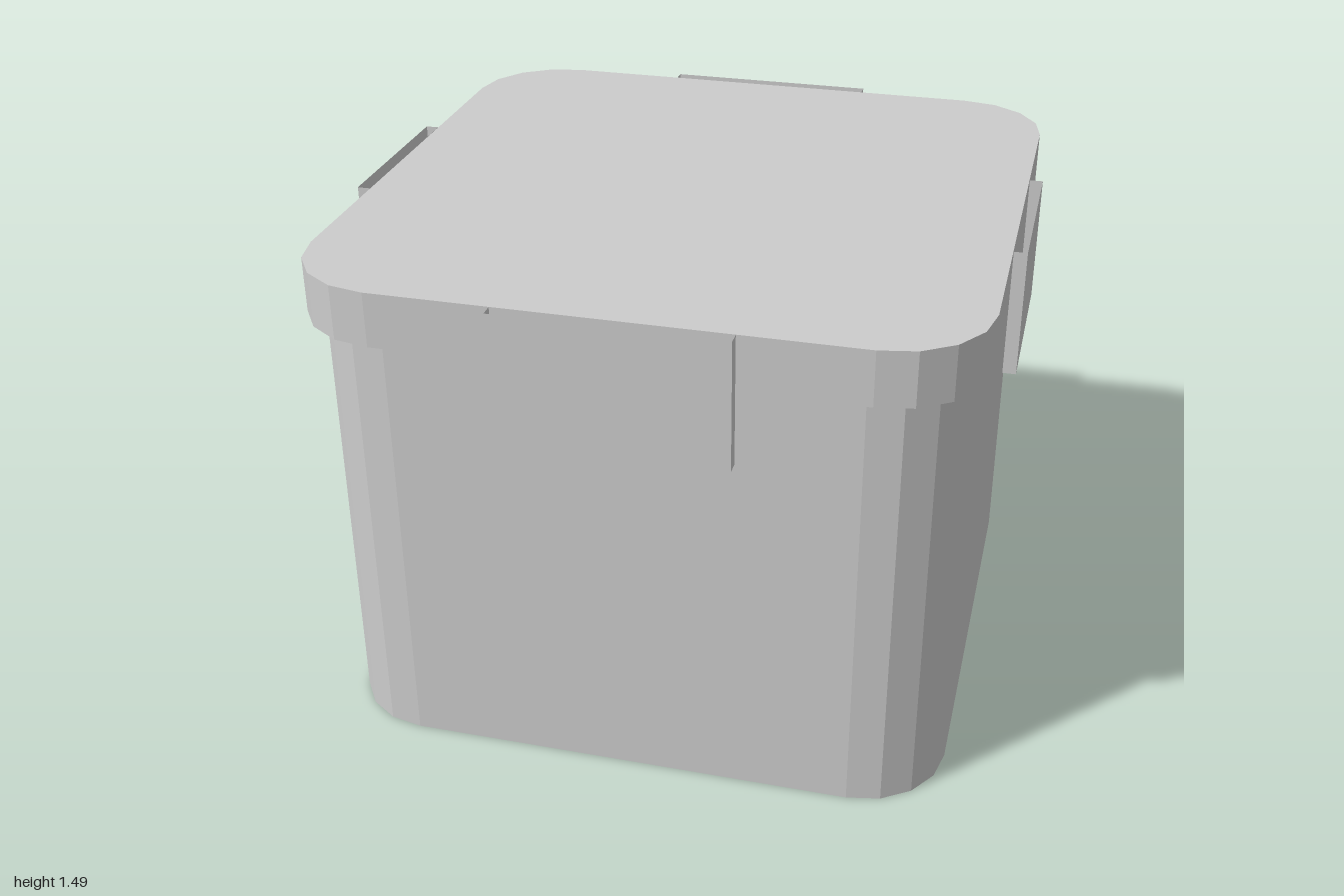
import * as THREE from 'three';

// Corner points of a rounded square, counter-clockwise, four segments per corner
function roundedSquare(half, radius) {
  const points = [];
  const c = half - radius;
  for (let corner = 0; corner < 4; corner++) {
    const mid = Math.PI / 4 + corner * Math.PI / 2;
    const cx = c * Math.sign(Math.cos(mid)), cy = c * Math.sign(Math.sin(mid));
    for (let i = 0; i <= 4; i++) {
      const a = (corner + i / 4) * Math.PI / 2;
      points.push(new THREE.Vector2(cx + radius * Math.cos(a), cy + radius * Math.sin(a)));
    }
  }
  return points;
}

// Upright wall following a closed outline
function wallGeometry(points, y0, y1) {
  const positions = [], index = [], n = points.length;
  points.forEach(p => positions.push(p.x, y0, -p.y, p.x, y1, -p.y));
  for (let i = 0; i < n; i++) {
    const a = 2 * i, b = 2 * ((i + 1) % n);
    index.push(a, b, b + 1, a, b + 1, a + 1);
  }
  const indexed = new THREE.BufferGeometry();
  indexed.setAttribute('position', new THREE.Float32BufferAttribute(positions, 3));
  indexed.setIndex(index);
  const geometry = indexed.toNonIndexed();
  geometry.computeVertexNormals();
  return geometry;
}

export function createModel() {
  const model = new THREE.Group();
  model.name = 'lunchBox';
  const plastic = new THREE.MeshStandardMaterial({
    color: 0xcccccc, side: THREE.DoubleSide, flatShading: true
  });
  plastic.name = 'grey plastic';

  const add = (name, geometry, parent = model) => {
    const mesh = new THREE.Mesh(geometry, plastic);
    mesh.name = name;
    parent.add(mesh);
    return mesh;
  };

  // Container: rounded walls on a flat floor
  const bodyOutline = roundedSquare(0.917, 0.255);
  add('bodyWall', wallGeometry(bodyOutline, 0, 1.325));
  add('bodyFloor', new THREE.ShapeGeometry(new THREE.Shape(bodyOutline)).rotateX(Math.PI / 2));

  // Lid: hollow cap, open underneath
  const lidOutline = roundedSquare(0.96, 0.275);
  add('lidRim', wallGeometry(lidOutline, 1.325, 1.487));
  add('lidTop', new THREE.ShapeGeometry(new THREE.Shape(lidOutline)).rotateX(-Math.PI / 2))
    .position.y = 1.487;

  // Four clips: thin sleeves open at top and bottom
  const names = ['frontClip', 'leftClip', 'backClip', 'rightClip'];
  names.forEach((name, i) => {
    const w = i % 2 ? 0.275 : 0.329;
    const outline = [[-w, -1], [w, -1], [w, -0.961], [-w, -0.961]]
      .map(([x, y]) => new THREE.Vector2(x, y));
    add(name, wallGeometry(outline, 1.107, 1.487)).rotation.y = i * Math.PI / 2;
  });

  return model;
}
